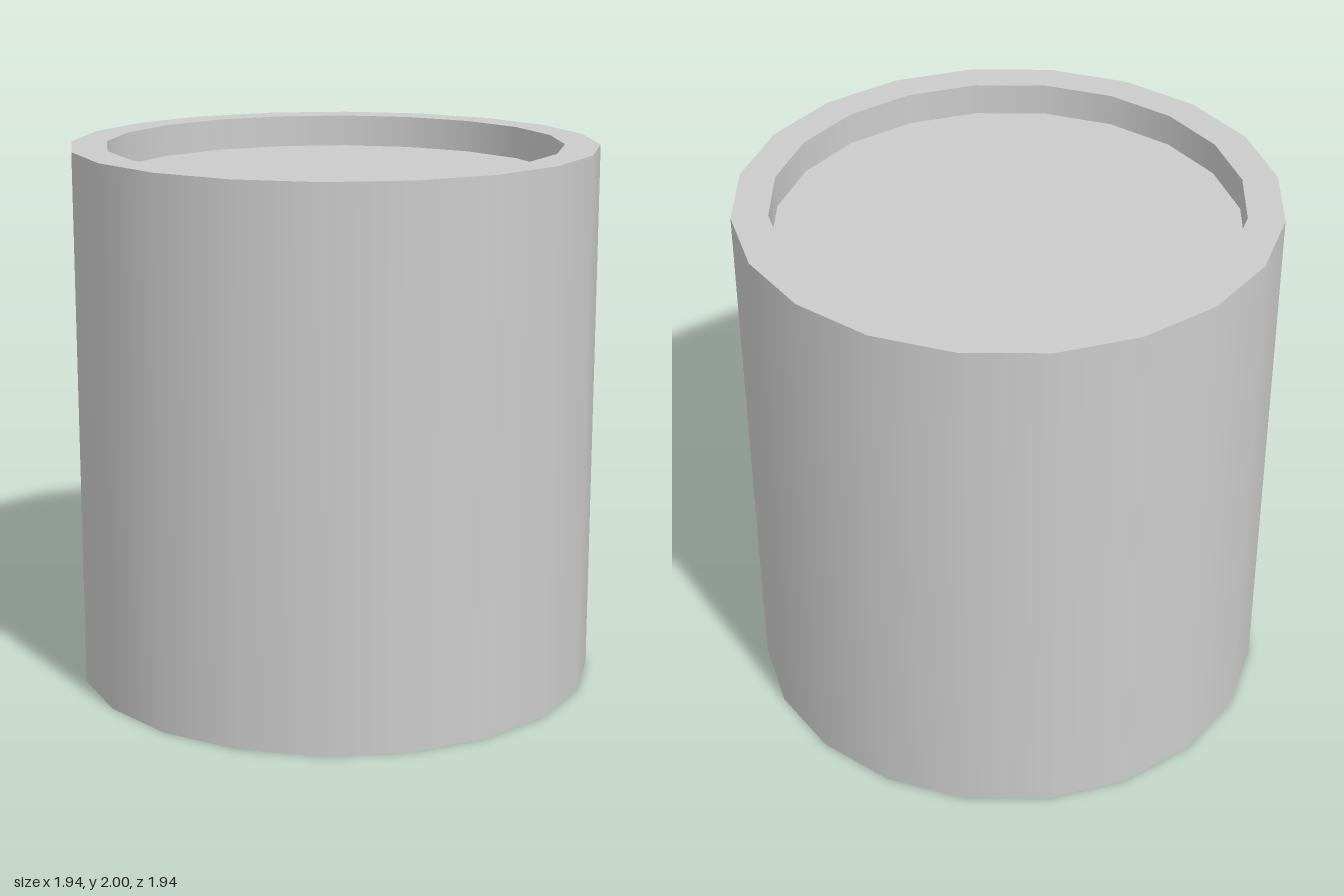
import * as THREE from 'three';

const SIDES = 20;
const OUTER = 0.97, INNER = 0.84, HEIGHT = 2, FLOOR = 1.88;

export function createModel() {
  const group = new THREE.Group();
  group.name = 'recessedCylinder';
  const material = new THREE.MeshStandardMaterial({ color: 0xcccccc });

  // Each band is its own lathe, so it is smooth around but sharp at its edges.
  const addBand = (name, r0, y0, r1, y1) => {
    const profile = [new THREE.Vector2(r0, y0), new THREE.Vector2(r1, y1)];
    const mesh = new THREE.Mesh(new THREE.LatheGeometry(profile, SIDES), material);
    mesh.name = name;
    group.add(mesh);
  };

  // Profile runs from the base centre, up and over the rim, to the recess centre.
  addBand('base', 0, 0, OUTER, 0);
  addBand('outerWall', OUTER, 0, OUTER, HEIGHT);
  addBand('rim', OUTER, HEIGHT, INNER, HEIGHT);
  addBand('recessWall', INNER, HEIGHT, INNER, FLOOR);
  addBand('recessFloor', INNER, FLOOR, 0, FLOOR);

  return group;
}
